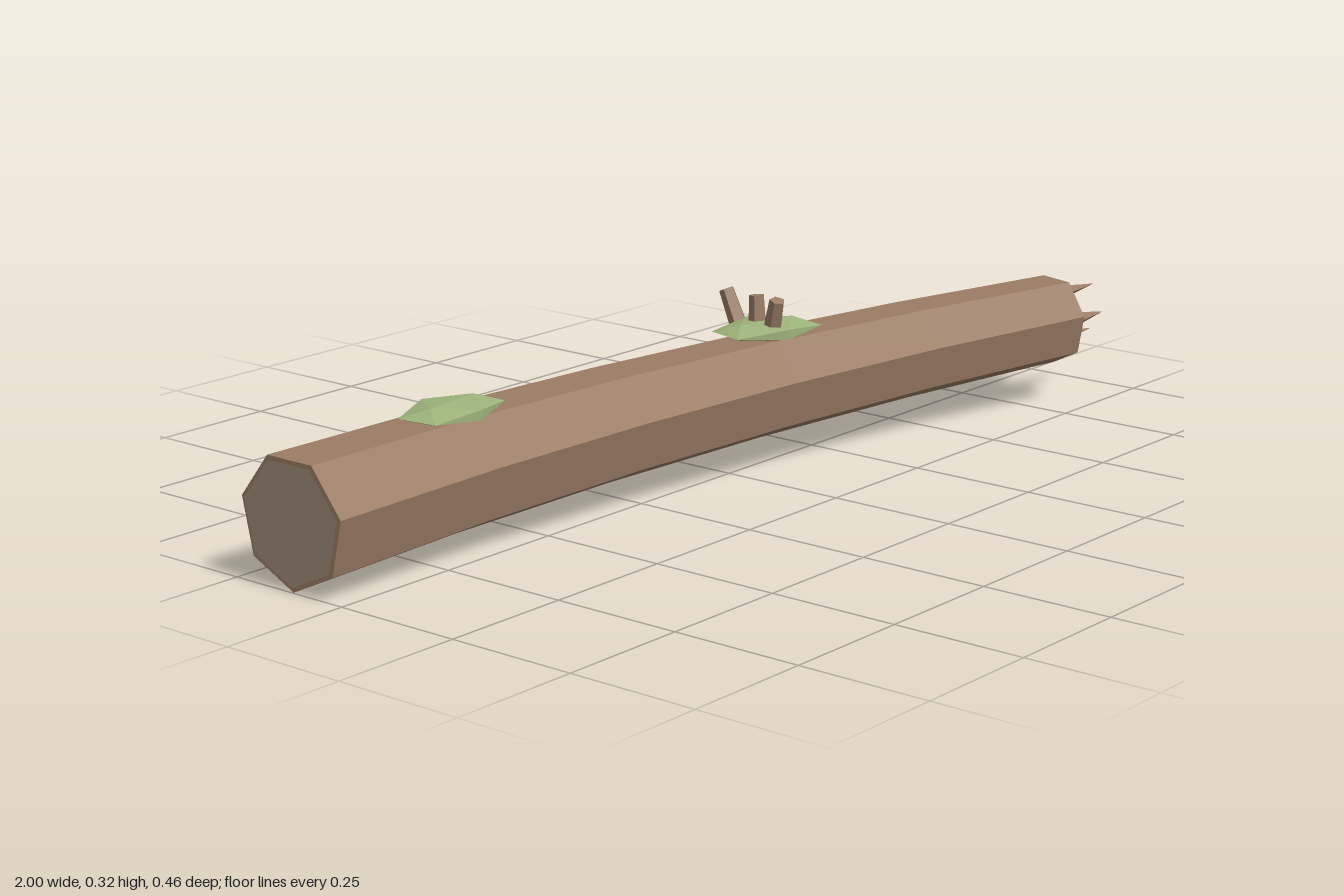
import * as THREE from 'three';

const material = (color) => new THREE.MeshStandardMaterial({ color, flatShading: true });
const bark = material(0x9a7c64);
const cutWood = material(0x9c8d78);
const moss = material(0x9db37a);

function add(group, name, geometry, mat) {
  const mesh = new THREE.Mesh(geometry, mat);
  mesh.name = name;
  group.add(mesh);
  return mesh;
}

// Seven-sided tapering trunk, bent sideways along a parabola
function trunkGeometry() {
  const geometry = new THREE.CylinderGeometry(0.0905, 0.12, 1, 7, 5);
  const p = geometry.attributes.position;
  for (let i = 0; i < p.count; i++) {
    const t = p.getY(i) + 0.5;
    const side = p.getX(i), down = p.getZ(i);
    const angle = Math.atan(0.283 * t);
    p.setXYZ(i,
      -0.998 + 1.858 * t + side * Math.sin(angle),
      0.12 + 0.038 * t - down,
      -0.115 + 0.263 * t * t - side * Math.cos(angle));
  }
  geometry.computeVertexNormals();
  return geometry;
}

// Tapered five-sided stub between two points
function addTwig(group, from, to) {
  const a = new THREE.Vector3(...from), b = new THREE.Vector3(...to);
  const twig = add(group, 'twig', new THREE.CylinderGeometry(0.015, 0.019, a.distanceTo(b), 5), bark);
  twig.position.copy(a).lerp(b, 0.5);
  twig.quaternion.setFromUnitVectors(new THREE.Vector3(0, 1, 0), b.sub(a).normalize());
}

export function createModel() {
  const model = new THREE.Group();
  model.name = 'log';

  add(model, 'trunk', trunkGeometry(), bark);

  // Sawn face at the thick end
  const face = new THREE.CircleGeometry(0.112, 7).rotateZ(-Math.PI / 2).rotateY(-Math.PI / 2);
  add(model, 'cutFace', face, cutWood).position.set(-1, 0.12, -0.115);

  // Splinters on the broken end: y, z, tip x
  const splinters = new THREE.Group();
  splinters.name = 'splinters';
  model.add(splinters);
  for (const [y, z, tip] of [[0.205, 0.148, 1], [0.113, 0.148, 0.99], [0.16, 0.195, 0.96], [0.16, 0.104, 0.965]]) {
    const length = tip - 0.845;
    const cone = new THREE.ConeGeometry(0.023, length, 3).rotateZ(-Math.PI / 2).scale(1, 1, 0.65);
    add(splinters, 'splinter', cone, bark).position.set(tip - length / 2, y, z);
  }

  // Flattened moss patches on top
  for (const [x, y, z, turn] of [[-0.62, 0.235, -0.11, 0.12], [0.13, 0.251, -0.015, -0.25]]) {
    const patch = add(model, 'mossPatch', new THREE.IcosahedronGeometry(1, 0), moss);
    patch.scale.set(0.116, 0.018, 0.077);
    patch.rotation.y = turn;
    patch.position.set(x, y, z);
  }

  // Row of broken twigs
  const twigs = new THREE.Group();
  twigs.name = 'twigs';
  model.add(twigs);
  addTwig(twigs, [0.12, 0.235, 0.004], [0.11, 0.314, 0.026]);
  addTwig(twigs, [0.125, 0.235, -0.031], [0.128, 0.312, -0.037]);
  addTwig(twigs, [0.13, 0.222, -0.07], [0.13, 0.313, -0.112]);

  return model;
}
